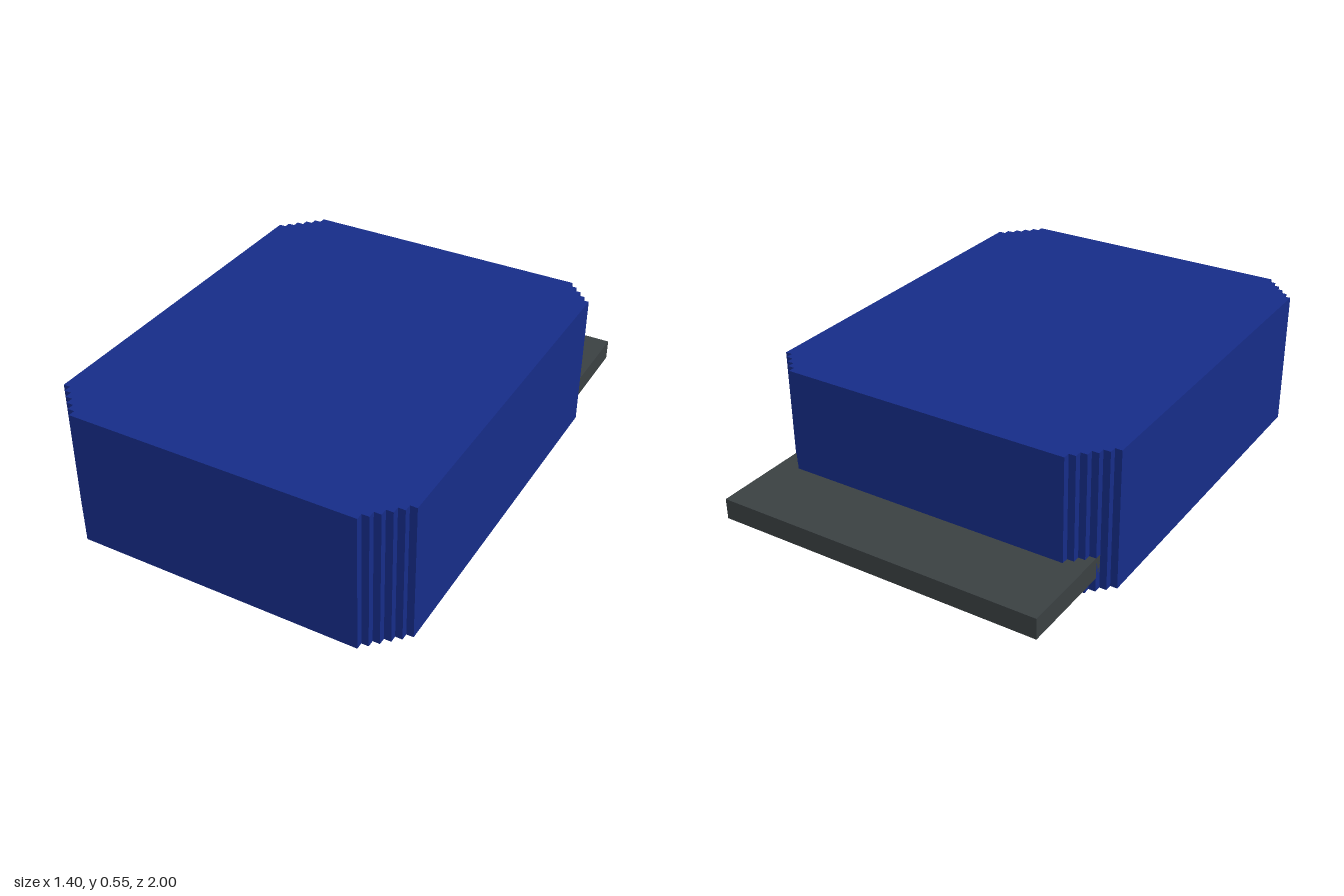
import * as THREE from 'three';

const U = 2 / 73; // grid step that all parts snap to

// Staircase from one side of a corner to the other, n steps long.
// sx, sz: direction of the corner; alongX: step in x first
function stairs(x, z, sx, sz, n) {
  const pts = [];
  for (let i = 0; i <= n; i++) {
    pts.push([x - sx * i * U, z - sz * (n - i) * U]);
    if (i < n) pts.push([x - sx * (i + 1) * U, z - sz * (n - i) * U]);
  }
  return pts;
}

export function createModel() {
  const group = new THREE.Group();
  const blue = new THREE.MeshStandardMaterial({ color: 0x162c88, flatShading: true });
  const grey = new THREE.MeshStandardMaterial({ color: 0x3a4042, flatShading: true });

  // Block with stepped corners; one back corner has a step fewer
  const X = 25.5 * U, front = 1, back = front - 62 * U, height = 20 * U;
  const outline = [
    ...stairs(X, front, 1, 1, 5),
    ...stairs(-X, front, -1, 1, 5).reverse(),
    ...stairs(-X, back, -1, -1, 5),
    ...stairs(X, back, 1, -1, 4).reverse(),
  ];
  const shape = new THREE.Shape(outline.map(([x, z]) => new THREE.Vector2(x, -z)));
  const bodyGeo = new THREE.ExtrudeGeometry(shape, { depth: height, bevelEnabled: false });
  bodyGeo.rotateX(-Math.PI / 2);
  const body = new THREE.Mesh(bodyGeo, blue);
  body.name = 'body';
  group.add(body);

  // Thin shelf sticking out of the back, set into the block
  const x0 = -23.5 * U, x1 = 24.5 * U + 0.001, z0 = -1, z1 = back + 4 * U;
  const shelf = new THREE.Mesh(new THREE.BoxGeometry(x1 - x0, 3 * U, z1 - z0), grey);
  shelf.position.set((x0 + x1) / 2, 3.5 * U, (z0 + z1) / 2);
  shelf.name = 'backShelf';
  group.add(shelf);

  return group;
}
